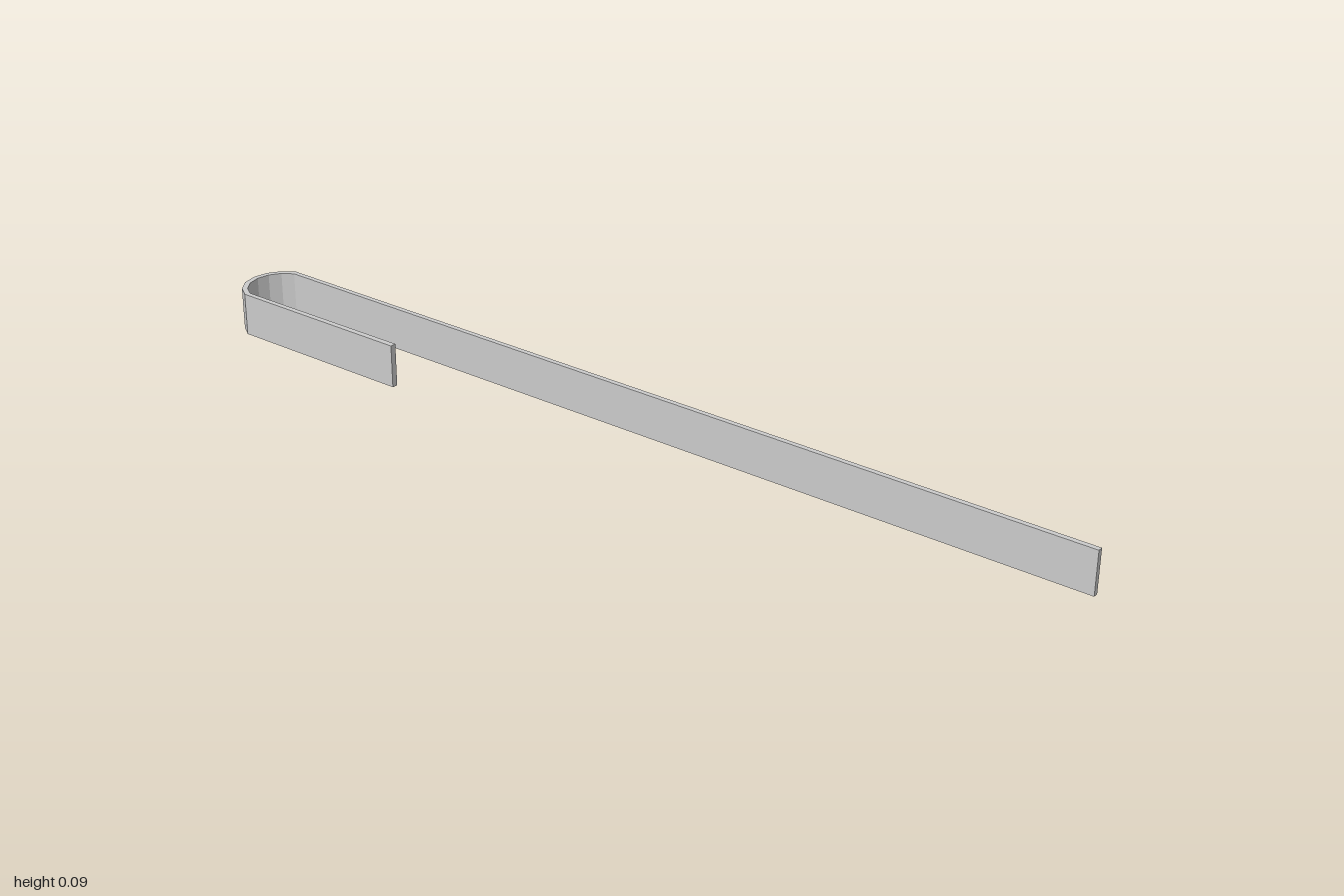
import * as THREE from 'three';

const HEIGHT = 0.093;
const BEND_Z = -0.917;               // centre of the bend's arc
const HALF_ANGLE = THREE.MathUtils.degToRad(68);
const SEGMENTS = 6;

// Faceted arc of the bend in plan, running from +x to -x
function arcPoints(radius) {
  return Array.from({ length: SEGMENTS + 1 }, (_, i) => {
    const a = HALF_ANGLE * (1 - (2 * i) / SEGMENTS);
    return new THREE.Vector2(radius * Math.sin(a), -BEND_Z + radius * Math.cos(a));
  });
}

// Plan outline (x, -z) raised to the strip's height
function extrudePlan(points) {
  const geometry = new THREE.ExtrudeGeometry(new THREE.Shape(points), {
    depth: HEIGHT,
    bevelEnabled: false,
  });
  return geometry.rotateX(-Math.PI / 2);
}

export function createModel() {
  const group = new THREE.Group();
  group.name = 'hookedStrip';
  const material = new THREE.MeshStandardMaterial({ color: 0xcccccc, flatShading: true });

  // One continuous band: long leg, faceted bend, short return leg
  const outline = [
    new THREE.Vector2(0.067, -1),
    new THREE.Vector2(0.078, -1),
    ...arcPoints(0.083),
    new THREE.Vector2(-0.076, 0.525),
    new THREE.Vector2(-0.063, 0.525),
    ...arcPoints(0.071).reverse(),
  ];
  const strip = new THREE.Mesh(extrudePlan(outline), material);
  strip.name = 'bentStrip';
  group.add(strip);

  return group;
}
